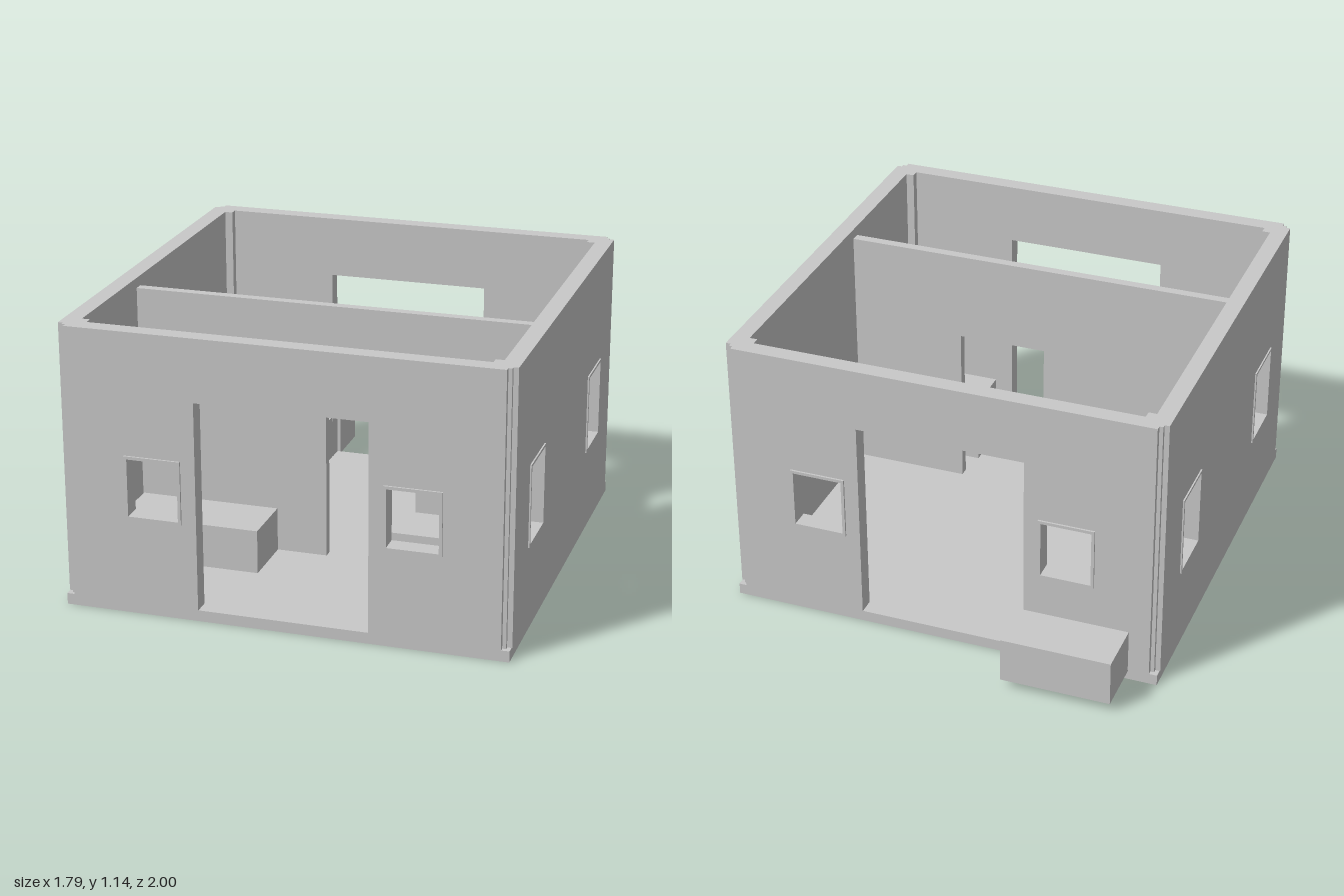
import * as THREE from 'three';

const HALF = 0.887, INNER = 0.818, POST = 0.785; // plan of the square house, measured from its centre
const FLOOR = 0.045, TOP = 1.143, CENTRE_Z = 0.105;

export function createModel() {
  const model = new THREE.Group();
  model.name = 'rooflessHouse';
  const grey = new THREE.MeshStandardMaterial({ color: 0xc8c8c8 });
  grey.name = 'light grey';

  const add = (parent, name, geometry) => {
    const mesh = new THREE.Mesh(geometry, grey);
    mesh.name = name;
    parent.add(mesh);
    return mesh;
  };
  const box = (name, x0, x1, y0, y1, z0, z1) => {
    const mesh = add(model, name, new THREE.BoxGeometry(x1 - x0, y1 - y0, z1 - z0));
    mesh.position.set((x0 + x1) / 2, (y0 + y1) / 2, (z0 + z1) / 2);
  };
  const polygon = (points) => new THREE.Shape(points.map(([x, y]) => new THREE.Vector2(x, y)));
  const rect = (x0, x1, y0, y1) => polygon([[x0, y0], [x1, y0], [x1, y1], [x0, y1]]);
  const extrude = (shape, z0, z1) =>
    new THREE.ExtrudeGeometry(shape, { depth: z1 - z0, bevelEnabled: false }).translate(0, 0, z0);

  // Floor slab
  box('floorSlab', -0.884, 0.884, 0, FLOOR, CENTRE_Z - 0.884, CENTRE_Z + 0.884);

  // Four sides: each has a wall, two framed windows and one corner post
  const endWall = {
    hole: [0.41, 0.612, 0.405, 0.638], frame: [0.398, 0.624, 0.393, 0.65], rim: 0.008, door: true,
  };
  const sideWall = {
    hole: [0.405, 0.622, 0.368, 0.68], frame: [0.393, 0.632, 0.357, 0.69], rim: 0.006, door: false,
  };
  const mirrorX = ([x0, x1, y0, y1], side) => side > 0 ? [x0, x1, y0, y1] : [-x1, -x0, y0, y1];

  ['front', 'left', 'back', 'right'].forEach((name, i) => {
    const side = new THREE.Group();
    side.name = name + 'Side';
    side.position.z = CENTRE_Z;
    side.rotation.y = i * Math.PI / 2;
    model.add(side);

    const spec = i % 2 ? sideWall : endWall;
    // Doorways are open down to the floor, so they are part of the outline
    const outline = [[-POST, FLOOR]];
    if (spec.door) outline.push([-0.34, FLOOR], [-0.34, 0.89], [0.34, 0.89], [0.34, FLOOR]);
    outline.push([POST, FLOOR], [POST, TOP], [-POST, TOP]);
    const wall = polygon(outline);

    for (const s of [-1, 1]) {
      const hole = rect(...mirrorX(spec.hole, s));
      wall.holes.push(hole);
      const frame = rect(...mirrorX(spec.frame, s));
      frame.holes.push(hole);
      add(side, 'windowFrame', extrude(frame, HALF, HALF + spec.rim));
    }
    add(side, name + 'Wall', extrude(wall, INNER, HALF));

    // Corner post with a stepped groove on its outer edge
    const post = polygon([
      [POST, POST], [HALF, POST], [HALF, 0.852], [0.867, 0.852],
      [0.867, 0.867], [0.852, 0.867], [0.852, HALF], [POST, HALF],
    ]);
    add(side, 'cornerPost', extrude(post, FLOOR, TOP).rotateX(-Math.PI / 2).rotateY(-Math.PI / 2));
  });

  // Inner partition with an open doorway
  const partition = polygon([
    [-INNER, FLOOR], [-0.03, FLOOR], [-0.03, 0.73], [0.34, 0.73],
    [0.34, FLOOR], [INNER, FLOOR], [INNER, 1.102], [-INNER, 1.102],
  ]);
  add(model, 'partition', extrude(partition, 0.308, 0.347));

  // Block furniture inside, and one block outside the back wall
  box('longBench', -0.815, -0.238, FLOOR, 0.225, 0.347, 0.594);
  box('tallBlock', 0.322, 0.695, FLOOR, 0.325, 0.454, 0.675);
  box('backRoomBlock', -0.735, -0.341, FLOOR, 0.235, -0.714, -0.517);
  box('outdoorBlock', -0.767, -0.326, 0.037, 0.222, -1, -0.78);

  return model;
}
